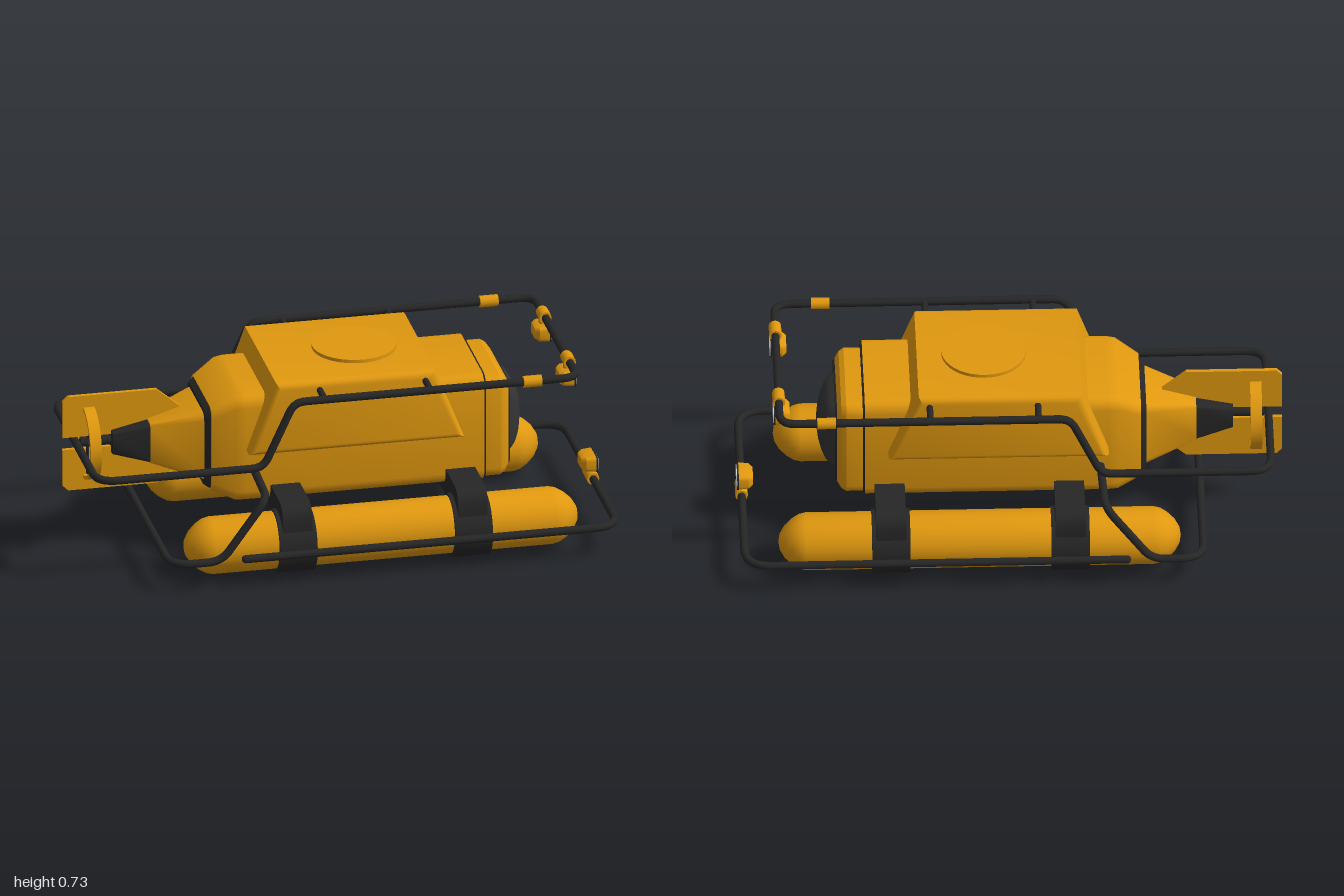
import * as THREE from 'three';
import { toCreasedNormals } from 'three/addons/utils/BufferGeometryUtils.js';

const V = (x, y, z) => new THREE.Vector3(x, y, z);

// Solid lofted along x through rounded rectangles: [x, halfWidth, bottom, top, cornerRadius]
function loft(sections, crease = 0.6) {
  const pos = [], idx = [], per = 5, n = per * 4;
  for (const [x, hz, y0, y1, r] of sections) {
    const cy = (y0 + y1) / 2, hy = (y1 - y0) / 2;
    for (let c = 0; c < 4; c++) {
      const sz = c === 0 || c === 3 ? 1 : -1, sy = c < 2 ? 1 : -1;
      for (let k = 0; k < per; k++) {
        const a = (c + k / (per - 1)) * Math.PI / 2;
        pos.push(x, cy + sy * (hy - r) + Math.sin(a) * r, sz * (hz - r) + Math.cos(a) * r);
      }
    }
  }
  const last = sections.length - 1;
  for (let i = 0; i < last; i++) for (let j = 0; j < n; j++) {
    const a = i * n + j, b = i * n + (j + 1) % n, c = a + n, d = b + n;
    idx.push(a, c, b, b, c, d);
  }
  for (const i of [0, last]) {
    const [x, , y0, y1] = sections[i], centre = pos.length / 3;
    pos.push(x, (y0 + y1) / 2, 0);
    for (let j = 0; j < n; j++) {
      const a = i * n + j, b = i * n + (j + 1) % n;
      if (i === 0) idx.push(centre, a, b); else idx.push(centre, b, a);
    }
  }
  const g = new THREE.BufferGeometry();
  g.setAttribute('position', new THREE.Float32BufferAttribute(pos, 3));
  g.setIndex(idx);
  return toCreasedNormals(g, crease);
}

// Pipe through points with rounded corners; radii per inner point
function pipe(points, radius, closed = false) {
  const path = new THREE.CurvePath();
  let from = points[0][0];
  for (let i = 1; i < points.length - 1; i++) {
    const [p, r] = points[i], prev = points[i - 1][0], next = points[i + 1][0];
    const a = p.clone().add(prev.clone().sub(p).setLength(r));
    const b = p.clone().add(next.clone().sub(p).setLength(r));
    path.add(new THREE.LineCurve3(from, a));
    path.add(new THREE.QuadraticBezierCurve3(a, p, b));
    from = b;
  }
  path.add(new THREE.LineCurve3(from, points[points.length - 1][0]));
  return new THREE.TubeGeometry(path, 260, radius, 10, closed);
}

// Mirrors a half path in z
const mirrored = half => [...half, ...half.slice().reverse().map(([p, r]) => [V(p.x, p.y, -p.z), r])];

function plate(points, depth, bevel = 0) {
  const shape = new THREE.Shape(points.map(p => new THREE.Vector2(...p)));
  const g = new THREE.ExtrudeGeometry(shape, {
    depth: depth - 2 * bevel, bevelEnabled: bevel > 0, bevelSize: bevel,
    bevelThickness: bevel, bevelOffset: -bevel, bevelSegments: 4,
  });
  g.translate(0, 0, -depth / 2 + bevel);
  return toCreasedNormals(g, 0.6);
}

export function createModel() {
  const mat = (name, color) => Object.assign(new THREE.MeshStandardMaterial({ color }), { name });
  const yellow = mat('yellow paint', 0xe0980f), dark = mat('dark metal', 0x262626);
  const glass = mat('tinted glass', 0x343434), white = mat('lamp white', 0xd2d2d2);
  const root = new THREE.Group();
  root.name = 'submarine';
  const add = (name, geo, material, x = 0, y = 0, z = 0, parent = root) => {
    const m = new THREE.Mesh(geo, material);
    m.name = name;
    m.position.set(x, y, z);
    parent.add(m);
    return m;
  };
  const alongX = (r, len, seg = 24) => new THREE.CylinderGeometry(r, r, len, seg).rotateZ(Math.PI / 2);
  const alongZ = (r, len, seg = 12) => new THREE.CylinderGeometry(r, r, len, seg).rotateX(Math.PI / 2);

  // Hull, nose and window
  add('hull', loft([[-0.48, 0.18, 0.26, 0.59, 0.04], [-0.395, 0.212, 0.225, 0.642, 0.045],
    [-0.36, 0.217, 0.225, 0.646, 0.045], [0.53, 0.217, 0.225, 0.646, 0.045]]), yellow);
  add('noseSeal', loft([[0.53, 0.217, 0.225, 0.646, 0.045], [0.537, 0.214, 0.228, 0.643, 0.045]]), dark);
  add('nose', loft([[0.535, 0.2, 0.228, 0.624, 0.04], [0.597, 0.2, 0.228, 0.624, 0.04],
    [0.615, 0.192, 0.236, 0.615, 0.04], [0.63, 0.175, 0.255, 0.595, 0.04]], 0.4), yellow);
  add('windowFrame', loft([[0.63, 0.172, 0.258, 0.593, 0.04], [0.636, 0.17, 0.26, 0.59, 0.04]]), dark);
  add('window', loft([[0.634, 0.14, 0.285, 0.565, 0.05], [0.652, 0.131, 0.294, 0.556, 0.05],
    [0.67, 0.115, 0.31, 0.54, 0.05], [0.685, 0.09, 0.335, 0.515, 0.045],
    [0.695, 0.06, 0.365, 0.485, 0.035], [0.701, 0.025, 0.4, 0.45, 0.02]], 0.8), glass);

  // Upper casing and hatch
  add('casing', plate([[-0.36, 0.435], [0.445, 0.435], [0.335, 0.715], [-0.26, 0.715]], 0.57, 0.03), yellow);
  add('hatch', new THREE.CylinderGeometry(0.155, 0.155, 0.02, 40), yellow, 0.09, 0.718, 0);

  // Tail cone
  add('tailBand', loft([[-0.5, 0.15, 0.272, 0.575, 0.035], [-0.48, 0.165, 0.262, 0.588, 0.035]]), dark);
  add('tailCone', loft([[-0.685, 0.065, 0.347, 0.503, 0.012], [-0.498, 0.14, 0.29, 0.56, 0.03]]), yellow);
  add('tailTip', loft([[-0.82, 0.042, 0.385, 0.47, 0.01], [-0.685, 0.063, 0.349, 0.5, 0.012]]), dark);

  // Upper and lower fins
  for (const s of [1, -1]) {
    const pts = [[-0.98, 0.186], [-0.65, 0.186], [-0.56, 0.11], [-0.56, 0.024], [-1, 0.024], [-1, 0.166]];
    const outline = pts.map(([x, y]) => [x, 0.43 + s * y]);
    add(s > 0 ? 'upperFin' : 'lowerFin', plate(outline, 0.016), yellow);
  }

  // Propeller and its ring
  const prop = new THREE.Group();
  prop.name = 'propeller';
  prop.position.set(-0.903, 0.43, 0);
  root.add(prop);
  const ring = new THREE.LatheGeometry([[0.127, -0.021], [0.14, -0.021], [0.14, 0.021], [0.127, 0.021], [0.127, -0.021]]
    .map(p => new THREE.Vector2(...p)), 36);
  add('propellerRing', toCreasedNormals(ring, 0.6).rotateZ(Math.PI / 2), yellow, 0, 0, 0, prop);
  add('shaft', alongX(0.018, 0.12, 12), dark, 0.03, 0, 0, prop);
  for (let i = 0; i < 4; i++) {
    const blade = new THREE.BoxGeometry(0.008, 0.115, 0.035).rotateY(0.5).translate(0, 0.065, 0).rotateX(i * Math.PI / 2);
    add('blade', blade, dark, 0, 0, 0, prop);
  }

  // Pontoons with rounded ends
  const profile = [[0, -0.735], [0.03, -0.73], [0.06, -0.712], [0.085, -0.685], [0.1, -0.66], [0.106, -0.635]];
  const pontoon = [...profile, ...profile.slice().reverse().map(([r, y]) => [r, -y])];
  const pontoonGeo = toCreasedNormals(
    new THREE.LatheGeometry(pontoon.map(p => new THREE.Vector2(...p)), 32), 0.7).rotateZ(Math.PI / 2);
  for (const s of [1, -1]) add('pontoon', pontoonGeo, yellow, 0.115, 0.124, s * 0.337);

  // Pontoon straps and cross beams
  const half = [[0.432, 0.187], [0.432, 0.24], [0.422, 0.265], [0.405, 0.28], [0.38, 0.289]];
  const beam = [...half, ...half.slice().reverse().map(([z, y]) => [-z, y])];
  for (const x of [-0.215, 0.44]) {
    add('crossBeam', plate(beam, 0.11).rotateY(Math.PI / 2), dark, x, 0, 0);
    for (const s of [1, -1]) add('strap', alongX(0.118, 0.14), dark, x, 0.12, s * 0.337);
  }

  // Upper rail: a closed loop, stepped up over the casing
  const R = 0.015;
  add('upperRail', pipe(mirrored([[V(-0.95, 0.43, 0), 0], [V(-0.95, 0.43, 0.372), 0.08],
    [V(-0.33, 0.43, 0.372), 0.04], [V(-0.215, 0.68, 0.372), 0.04],
    [V(0.845, 0.68, 0.372), 0.06], [V(0.845, 0.68, 0), 0.02]]
    .filter((p, i) => i < 5)).slice(0, -1).concat([[V(-0.95, 0.43, 0), 0]]), R, true), dark);
  for (const s of [1, -1]) {
    for (const x of [-0.1, 0.295]) add('railStrut', alongZ(0.012, 0.12), dark, x, 0.68, s * 0.31);
    add('railCuff', alongX(0.022, 0.068, 10), yellow, 0.675, 0.68, s * 0.372);
  }

  // Lower rails: front bumper and rear hoop
  add('frontRail', pipe(mirrored([[V(-0.42, 0.12, 0.48), 0], [V(0.975, 0.12, 0.48), 0.1]]), R), dark);
  add('rearRail', pipe(mirrored([[V(-0.33, 0.355, 0.2), 0], [V(-0.34, 0.355, 0.48), 0.06],
    [V(-0.51, 0.12, 0.48), 0.05], [V(-0.7, 0.12, 0.48), 0.09]]), R), dark);
  for (const s of [1, -1]) add('railEnd', new THREE.SphereGeometry(R, 10, 8), dark, -0.42, 0.12, s * 0.48);

  // Lamps with cuff, stem, rim and lens
  const lampShape = (x0, x1, inset) => loft([
    [x0, 0.054 - inset, -0.031 + inset, 0.031 - inset, 0.014],
    [x1, 0.054 - inset, -0.031 + inset, 0.031 - inset, 0.014]]);
  function lamp(x, y, z, cuffX, cuffY, cuffWidth) {
    const g = new THREE.Group();
    g.name = 'lamp';
    g.position.set(x, y, z);
    root.add(g);
    add('lampBody', loft([[-0.03, 0.036, -0.02, 0.02, 0.012], [-0.015, 0.05, -0.028, 0.028, 0.014],
      [0.022, 0.053, -0.03, 0.03, 0.014]]), yellow, 0, 0, 0, g);
    add('lampRim', lampShape(0.022, 0.028, 0), dark, 0, 0, 0, g);
    add('lampLens', lampShape(0.026, 0.031, 0.006), white, 0, 0, 0, g);
    add('lampCuff', alongZ(0.023, cuffWidth), yellow, cuffX - x, cuffY - y, 0, g);
    add('lampStem', new THREE.CylinderGeometry(0.014, 0.014, Math.abs(cuffY - y), 12), yellow,
      (cuffX - x) / 2, (cuffY - y) / 2, 0, g);
  }
  for (const s of [1, -1]) lamp(0.835, 0.62, s * 0.207, 0.845, 0.68, 0.064);
  lamp(0.963, 0.178, 0, 0.975, 0.12, 0.088);

  return root;
}
